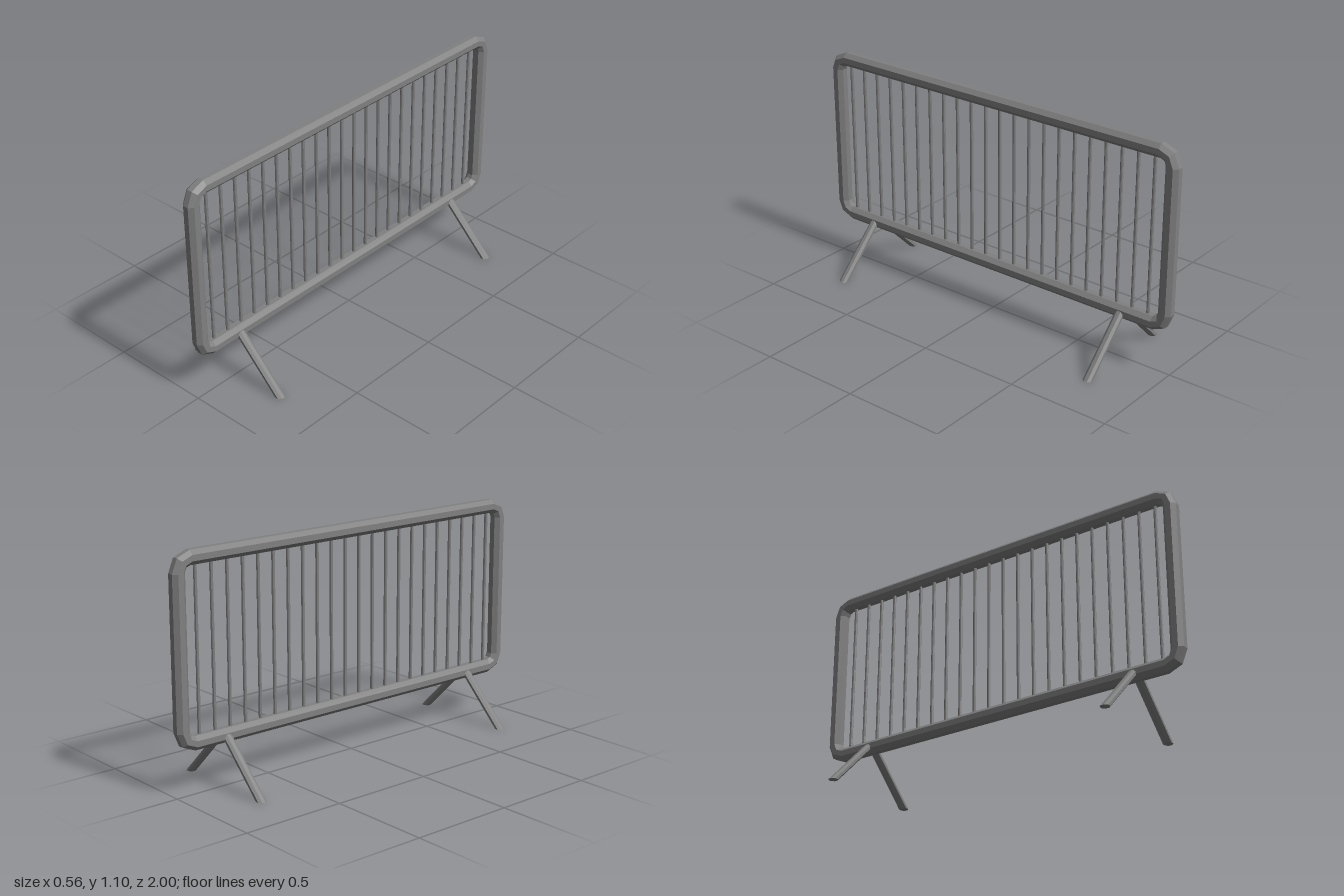
import * as THREE from 'three';

const material = new THREE.MeshStandardMaterial({ color: 0x808080, flatShading: true });

function addMesh(parent, geometry, name) {
  const mesh = new THREE.Mesh(geometry, material);
  mesh.name = name;
  parent.add(mesh);
  return mesh;
}

// Closed octagonal tube swept round a rounded rectangle in the z-y plane
function frameGeometry(halfLength, bottom, top, bend, radius, sides = 8, steps = 2) {
  const positions = [];
  const index = [];
  const corners = [[1, 1], [-1, 1], [-1, -1], [1, -1]];
  corners.forEach(([sz, sy], c) => {
    const cz = sz * (halfLength - bend);
    const cy = sy > 0 ? top - bend : bottom + bend;
    for (let s = 0; s <= steps; s++) {
      const a = (c + s / steps) * Math.PI / 2;
      for (let k = 0; k < sides; k++) {
        const t = (k + 0.5) / sides * Math.PI * 2;
        const r = bend + radius * Math.cos(t);
        positions.push(radius * Math.sin(t), cy + r * Math.sin(a), cz + r * Math.cos(a));
      }
    }
  });
  const rings = corners.length * (steps + 1);
  for (let i = 0; i < rings; i++) {
    for (let k = 0; k < sides; k++) {
      const next = (i + 1) % rings * sides;
      const a = i * sides + k, b = i * sides + (k + 1) % sides;
      const c = next + (k + 1) % sides, d = next + k;
      index.push(a, b, c, a, c, d);
    }
  }
  const geometry = new THREE.BufferGeometry();
  geometry.setAttribute('position', new THREE.Float32BufferAttribute(positions, 3));
  geometry.setIndex(index);
  geometry.computeVertexNormals();
  return geometry;
}

export function createModel() {
  const model = new THREE.Group();
  model.name = 'crowdBarrier';

  // Outer frame
  addMesh(model, frameGeometry(0.966, 0.239, 1.062, 0.06, 0.036), 'frame');

  // Upright bars
  const bars = new THREE.Group();
  bars.name = 'bars';
  model.add(bars);
  const barCount = 22;
  const barGeometry = new THREE.CylinderGeometry(0.008, 0.008, 0.81, 8, 1, true);
  for (let i = 0; i < barCount; i++) {
    addMesh(bars, barGeometry, 'bar').position.set(0, 0.65, 0.885 - i * 0.0837);
  }

  // Splayed legs: upright tubes sheared outwards so the feet stay level
  const legs = new THREE.Group();
  legs.name = 'legs';
  model.add(legs);
  for (const side of [1, -1]) {
    const legGeometry = new THREE.CylinderGeometry(0.023, 0.023, 0.25, 8);
    legGeometry.rotateY(Math.PI / 8);
    legGeometry.translate(0, 0.125, 0);
    legGeometry.applyMatrix4(new THREE.Matrix4().makeShear(0, 0, -side, 0, 0, 0));
    legGeometry.translate(side * 0.26, 0, 0);
    for (const z of [0.747, -0.741]) {
      addMesh(legs, legGeometry, side > 0 ? 'leftLeg' : 'rightLeg').position.z = z;
    }
  }

  return model;
}
